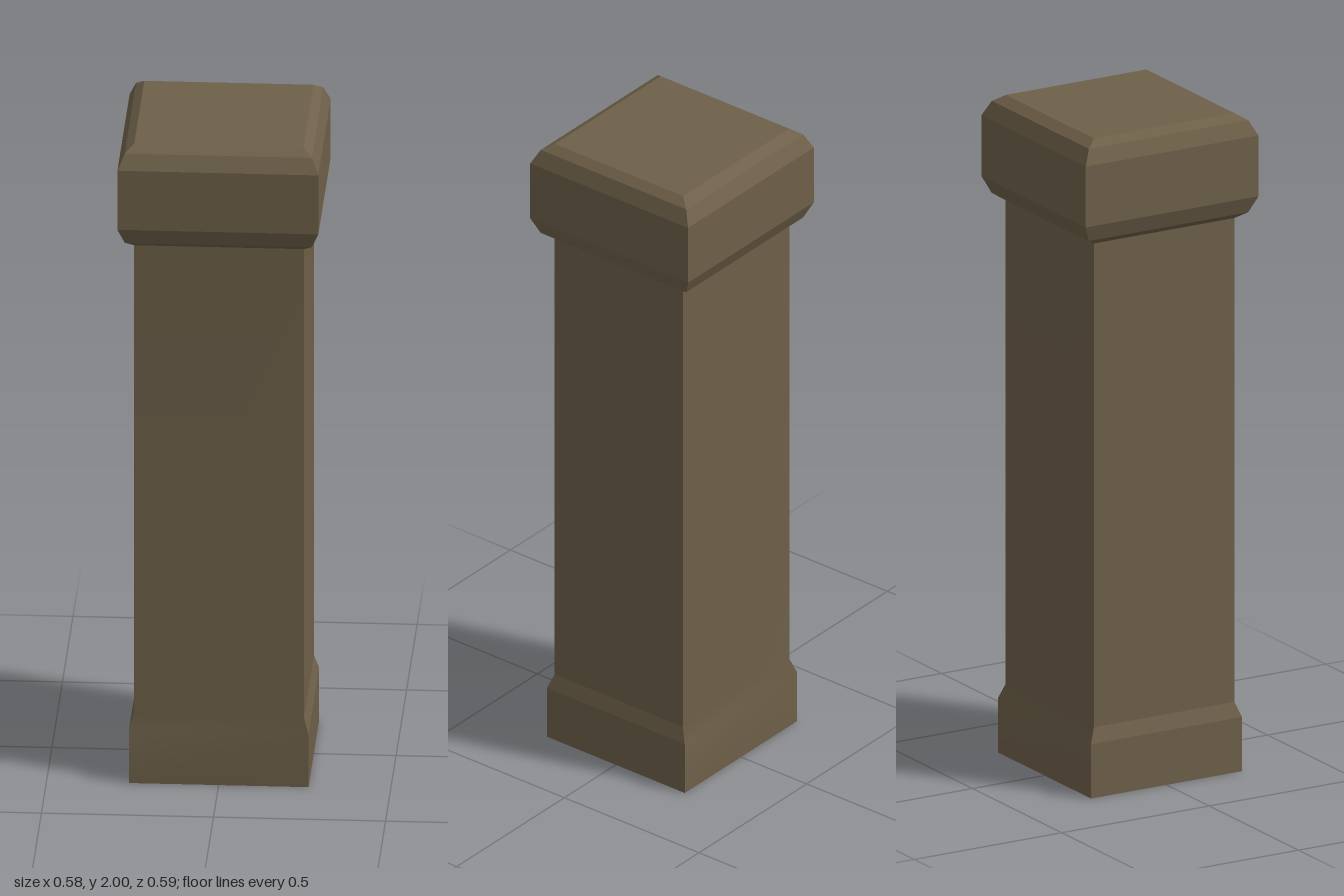
import * as THREE from 'three';

const CORNERS = [[-1, 1], [1, 1], [1, -1], [-1, -1]];

// Four-sided loft through rows of [half width x, height, half depth z]
function addLoft(group, name, rows, material, smoothFrontBack) {
  const part = new THREE.Group();
  part.name = name;
  const point = ([x, y, z], k) => [CORNERS[k % 4][0] * x, y, CORNERS[k % 4][1] * z];
  const addFace = (label, points, index, smooth) => {
    let g = new THREE.BufferGeometry();
    g.setAttribute('position', new THREE.Float32BufferAttribute(points.flat(), 3));
    g.setIndex(index);
    if (!smooth) g = g.toNonIndexed();
    g.computeVertexNormals();
    const mesh = new THREE.Mesh(g, material);
    mesh.name = label;
    part.add(mesh);
  };

  // Walls: front, left, back, right
  ['Front', 'Left', 'Back', 'Right'].forEach((side, k) => {
    const points = [], index = [];
    rows.forEach((row, i) => {
      points.push(point(row, k), point(row, k + 1));
      if (i === 0) return;
      const a = 2 * i - 2;
      index.push(a, a + 1, a + 3, a, a + 3, a + 2);
    });
    addFace(name + side, points, index, smoothFrontBack && k % 2 === 0);
  });

  // Flat ends
  const end = (row) => [0, 1, 2, 3].map((k) => point(row, k));
  addFace(name + 'Bottom', end(rows[0]), [0, 2, 1, 0, 3, 2], false);
  addFace(name + 'Top', end(rows[rows.length - 1]), [0, 1, 2, 0, 2, 3], false);
  group.add(part);
}

export function createModel() {
  const group = new THREE.Group();
  group.name = 'post';
  const stone = new THREE.MeshStandardMaterial({ color: 0x6e6049 });
  stone.name = 'brown stone';

  // Shaft with a slightly wider chamfered foot
  addLoft(group, 'shaft', [
    [0.261, 0, 0.256],
    [0.261, 0.165, 0.256],
    [0.247, 0.21, 0.238],
    [0.247, 1.69, 0.238],
  ], stone, true);

  // Cap with two-step bevels above and below
  addLoft(group, 'cap', [
    [0.246, 1.68, 0.238],
    [0.272, 1.7, 0.27],
    [0.292, 1.75, 0.293],
    [0.292, 1.935, 0.293],
    [0.272, 1.98, 0.27],
    [0.246, 2, 0.238],
  ], stone, false);

  return group;
}
